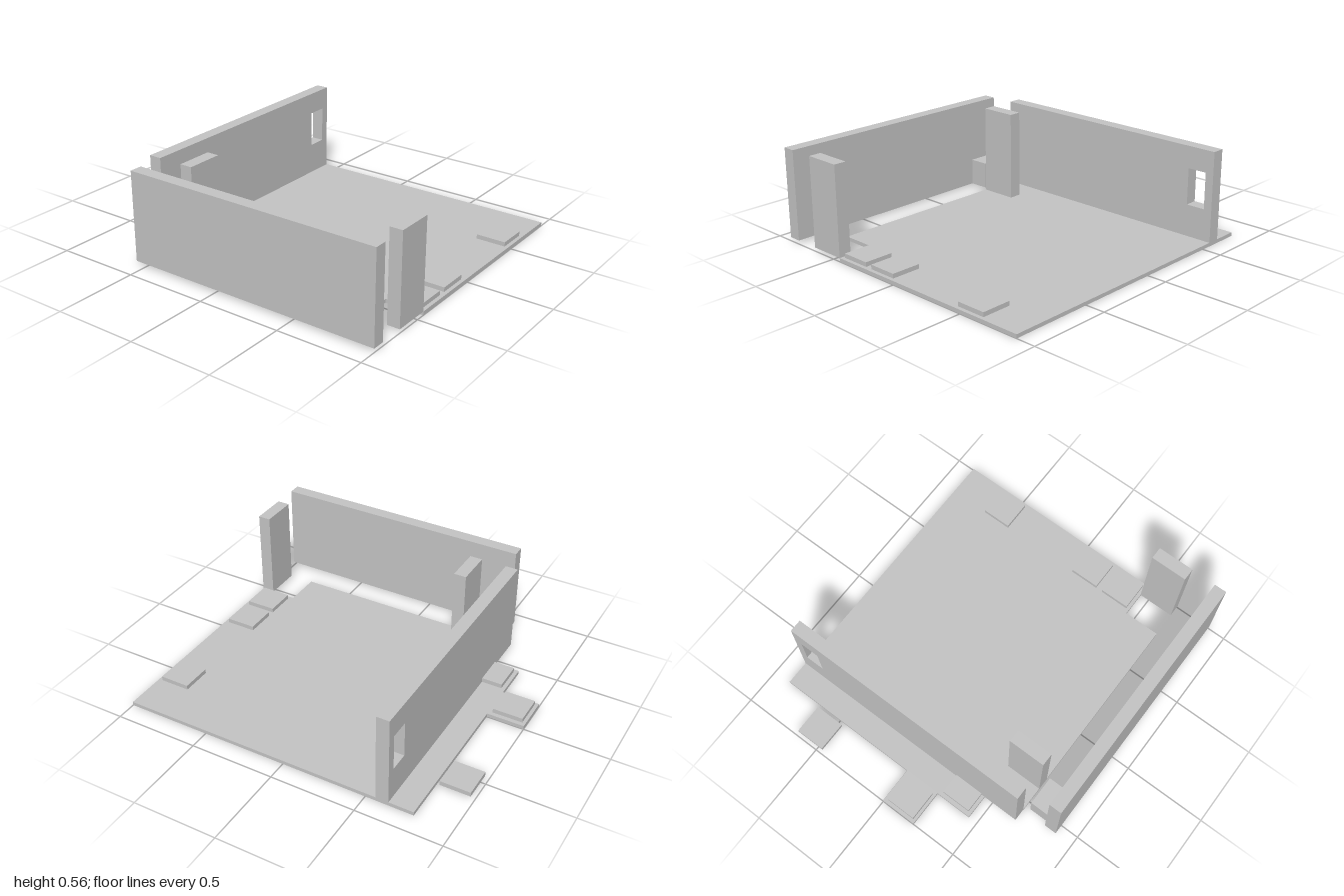
import * as THREE from 'three';

export function createModel() {
  const model = new THREE.Group();
  const grey = new THREE.MeshStandardMaterial({ color: 0xc4c4c4 });
  grey.name = 'light grey';

  const T = 0.022;   // floor thickness
  const H = 0.555;   // top of the walls

  function add(name, geometry) {
    const mesh = new THREE.Mesh(geometry, grey);
    mesh.name = name;
    model.add(mesh);
    return mesh;
  }

  // Box given by its extents on each axis
  function box(name, [x0, x1], [y0, y1], [z0, z1]) {
    const mesh = add(name, new THREE.BoxGeometry(x1 - x0, y1 - y0, z1 - z0));
    mesh.position.set((x0 + x1) / 2, (y0 + y1) / 2, (z0 + z1) / 2);
  }

  const points = (list) => list.map(([x, y]) => new THREE.Vector2(x, y));

  // Floor plate with stepped back edge and front corner notch, as (x, z)
  const outline = [
    [0.885, 1], [0.885, -0.78], [0, -0.78], [0, -1], [-0.22, -1], [-0.22, -0.78],
    [-0.445, -0.78], [-0.445, -0.56], [-0.665, -0.56], [-0.665, 0.775],
    [-0.445, 0.775], [-0.445, 1],
  ];
  const floor = new THREE.ExtrudeGeometry(
    new THREE.Shape(points(outline.map(([x, z]) => [x, -z]))),
    { depth: T, bevelEnabled: false });
  floor.rotateX(-Math.PI / 2);
  add('floor', floor);

  // Back wall with a small window opening
  const wall = new THREE.Shape(points([[-0.665, T], [0.885, T], [0.885, H], [-0.665, H]]));
  wall.holes.push(new THREE.Path(points([[0.72, 0.21], [0.72, 0.425], [0.835, 0.425], [0.835, 0.21]])));
  const backWall = new THREE.ExtrudeGeometry(wall, { depth: 0.075, bevelEnabled: false });
  backWall.translate(0, 0, -0.635);
  add('backWall', backWall);

  // Separate side wall and the short wall stubs beside it
  box('sideWall', [-0.89, -0.815], [T, H], [-0.56, 1]);
  box('backStub', [-0.665, -0.445], [T, H], [-0.41, -0.335]);
  box('frontStub', [-0.665, -0.445], [T, H], [0.925, 1]);

  // Block against the side wall
  box('sideBlock', [-0.815, -0.695], [T, 0.182], [-0.535, -0.36]);

  // Low square pads along the front and back edges
  const padColumns = [[-0.425, -0.247], [-0.203, -0.025], [0.465, 0.643]];
  const backDepths = [[-0.757, -0.635], [-0.98, -0.802], [-0.98, -0.802]];
  padColumns.forEach((x, i) => {
    box('frontPad', x, [T, 0.048], [0.8, 0.978]);
    box('backPad', x, [T, 0.048], backDepths[i]);
  });

  return model;
}
